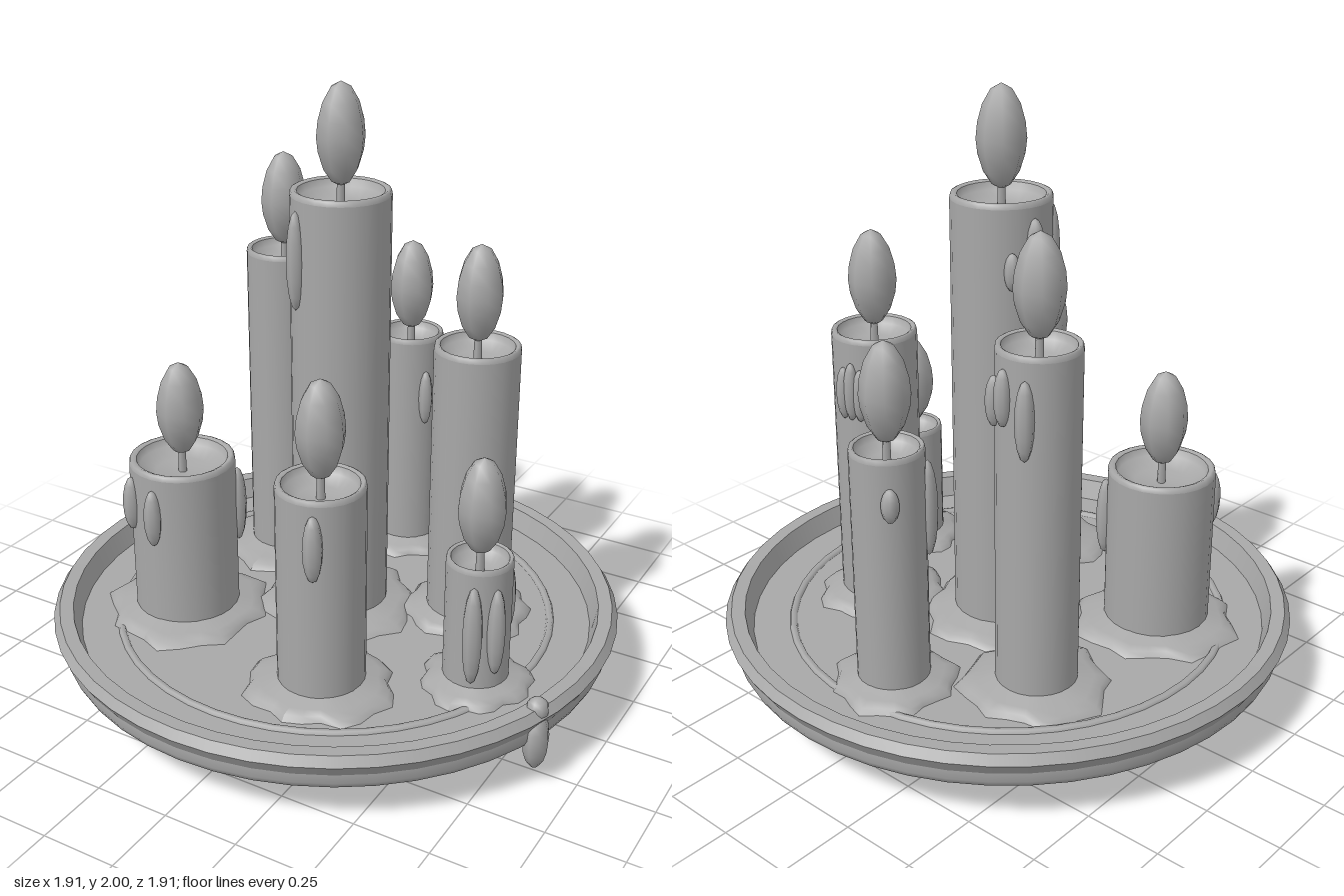
import * as THREE from 'three';

const FLOOR = 0.2;

// x, z, radius, top, puddle radius, drips as [dx, dz, yLow, yHigh, width]
const CANDLES = [
  [0, -0.03, 0.16, 1.67, 0.27, [[-0.155, -0.03, 1.38, 1.62, 0.033], [-0.075, 0.14, 1.3, 1.62, 0.03], [-0.13, -0.1, 1.4, 1.52, 0.025]]],
  [-0.38, -0.3, 0.13, 1.35, 0.24, [[-0.045, -0.11, 1.03, 1.28, 0.03], [0.025, -0.13, 1.12, 1.3, 0.027], [0.08, -0.11, 1.1, 1.26, 0.027], [0.11, 0.02, 1.15, 1.28, 0.025]]],
  [-0.03, -0.58, 0.115, 1.02, 0.2, [[-0.09, 0.08, 0.65, 0.97, 0.03], [-0.09, -0.08, 0.82, 0.93, 0.028], [0.1, 0.07, 0.7, 0.9, 0.025]]],
  [0.405, -0.2, 0.14, 1.18, 0.22, [[-0.07, -0.15, 0.9, 1.08, 0.025], [-0.035, -0.16, 0.9, 1.1, 0.025], [0, -0.16, 0.9, 1.08, 0.025]]],
  [0.61, 0.17, 0.105, 0.655, 0.18, [[0.03, 0.1, 0.26, 0.6, 0.033], [0.09, 0.06, 0.29, 0.59, 0.03], [0.06, -0.1, 0.35, 0.6, 0.028], [-0.1, -0.07, 0.4, 0.55, 0.025]]],
  [0.2, 0.43, 0.14, 0.915, 0.24, [[0.05, 0.13, 0.65, 0.87, 0.032], [0.05, -0.14, 0.6, 0.85, 0.03], [-0.1, -0.12, 0.62, 0.8, 0.028]]],
  [-0.435, 0.26, 0.175, 0.775, 0.275, [[-0.1, 0.145, 0.54, 0.73, 0.03], [0.005, 0.175, 0.52, 0.72, 0.03], [0.15, -0.11, 0.45, 0.72, 0.03]]],
];

const lathe = (pts, segments) =>
  new THREE.LatheGeometry(pts.map(([r, y]) => new THREE.Vector2(r, y)), segments);

// Irregular melted skirt: a lathe whose outer rings are pushed in and out
function puddleGeometry(candleR, outerR, seed) {
  const geo = lathe([[outerR, 0], [outerR * 0.93, 0.018], [(outerR + candleR) / 2, 0.026], [candleR * 0.9, 0.045]], 24);
  const p = geo.attributes.position;
  for (let i = 0; i < p.count; i++) {
    const x = p.getX(i), z = p.getZ(i), r = Math.hypot(x, z), a = Math.atan2(z, x);
    const weight = Math.max(0, (r - candleR) / (outerR - candleR));
    const wave = 0.07 * Math.sin(8 * a + seed) + 0.05 * Math.sin(3 * a + seed * 2.3);
    const s = 1 + weight * (wave - 0.03);
    p.setX(i, x * s);
    p.setZ(i, z * s);
  }
  geo.computeVertexNormals();
  return geo;
}

export function createModel() {
  const model = new THREE.Group();
  const grey = new THREE.MeshStandardMaterial({ name: 'grey', color: 0xa8a8a8 });
  const open = new THREE.MeshStandardMaterial({ name: 'grey', color: 0xa8a8a8 });
  open.side = grey.side = THREE.DoubleSide;

  const add = (parent, name, geometry, x = 0, y = 0, z = 0) => {
    const mesh = new THREE.Mesh(geometry, grey);
    mesh.name = name;
    mesh.position.set(x, y, z);
    parent.add(mesh);
    return mesh;
  };
  const ellipsoid = (parent, name, x, y, z, rx, ry, rz = rx) =>
    add(parent, name, new THREE.SphereGeometry(1, 8, 8), x, y, z).scale.set(rx, ry, rz);

  // Tray: separate bands keep the turned edges crisp
  const tray = new THREE.Group();
  tray.name = 'tray';
  model.add(tray);
  const bands = {
    trayBottom: [[0, 0.14], [0.89, 0.14]],
    traySide: [[0.89, 0.14], [0.92, 0.15], [0.93, 0.17], [0.93, 0.2]],
    trayLip: [[0.93, 0.2], [0.955, 0.242]],
    trayBevel: [[0.955, 0.242], [0.935, 0.272]],
    trayRim: [[0.935, 0.272], [0.89, 0.27]],
    trayInnerWall: [[0.89, 0.27], [0.865, FLOOR]],
    trayFloor: [[0.865, FLOOR], [0, FLOOR]],
  };
  for (const [name, pts] of Object.entries(bands)) add(tray, name, lathe(pts, 48));
  add(tray, 'floorRing', lathe([[0.745, FLOOR], [0.74, 0.211], [0.725, 0.211], [0.72, FLOOR]], 48));

  // Three ball feet
  for (let i = 0; i < 3; i++) {
    const a = -0.297 + (i * Math.PI * 2) / 3;
    ellipsoid(tray, 'foot', 0.65 * Math.cos(a), 0.092, 0.65 * Math.sin(a), 0.092, 0.09);
  }

  // Wax running over the tray edge
  ellipsoid(tray, 'trayDrip', 0.875, 0.155, 0.295, 0.04, 0.1, 0.052);
  ellipsoid(tray, 'trayDripTop', 0.872, 0.26, 0.29, 0.036, 0.04);

  CANDLES.forEach(([x, z, r, top, puddleR, drips], i) => {
    const candle = new THREE.Group();
    candle.name = 'candle';
    candle.position.set(x, 0, z);
    model.add(candle);

    // Wax body, rounded rim and hollow top
    add(candle, 'waxBody', lathe([[r, FLOOR], [r, top - 0.018]], 24));
    add(candle, 'waxRim', lathe([[r, top - 0.018], [r * 0.98, top - 0.004], [r * 0.93, top], [r * 0.86, top - 0.006]], 24));
    add(candle, 'waxHollow', lathe([[r * 0.86, top - 0.006], [r * 0.8, top - 0.03], [r * 0.5, top - 0.055], [0, top - 0.06]], 24));
    add(candle, 'puddle', puddleGeometry(r, puddleR, i * 1.7), 0, FLOOR, 0);

    // Wick and faceted flame
    add(candle, 'wick', new THREE.CylinderGeometry(0.012, 0.014, 0.1, 6), 0, top - 0.02, 0);
    const flame = lathe([[0, 0], [0.03, 0.015], [0.056, 0.055], [0.073, 0.11], [0.078, 0.155],
      [0.073, 0.205], [0.058, 0.26], [0.032, 0.305], [0, 0.322]], 8);
    add(candle, 'flame', flame, 0, top + 0.006, 0);

    // Drips sit half sunk into the wax surface
    for (const [dx, dz, low, high, w] of drips) {
      const k = (r + 0.004) / Math.hypot(dx, dz);
      ellipsoid(candle, 'drip', dx * k, (low + high) / 2, dz * k, w, (high - low) / 2);
    }
  });

  return model;
}
